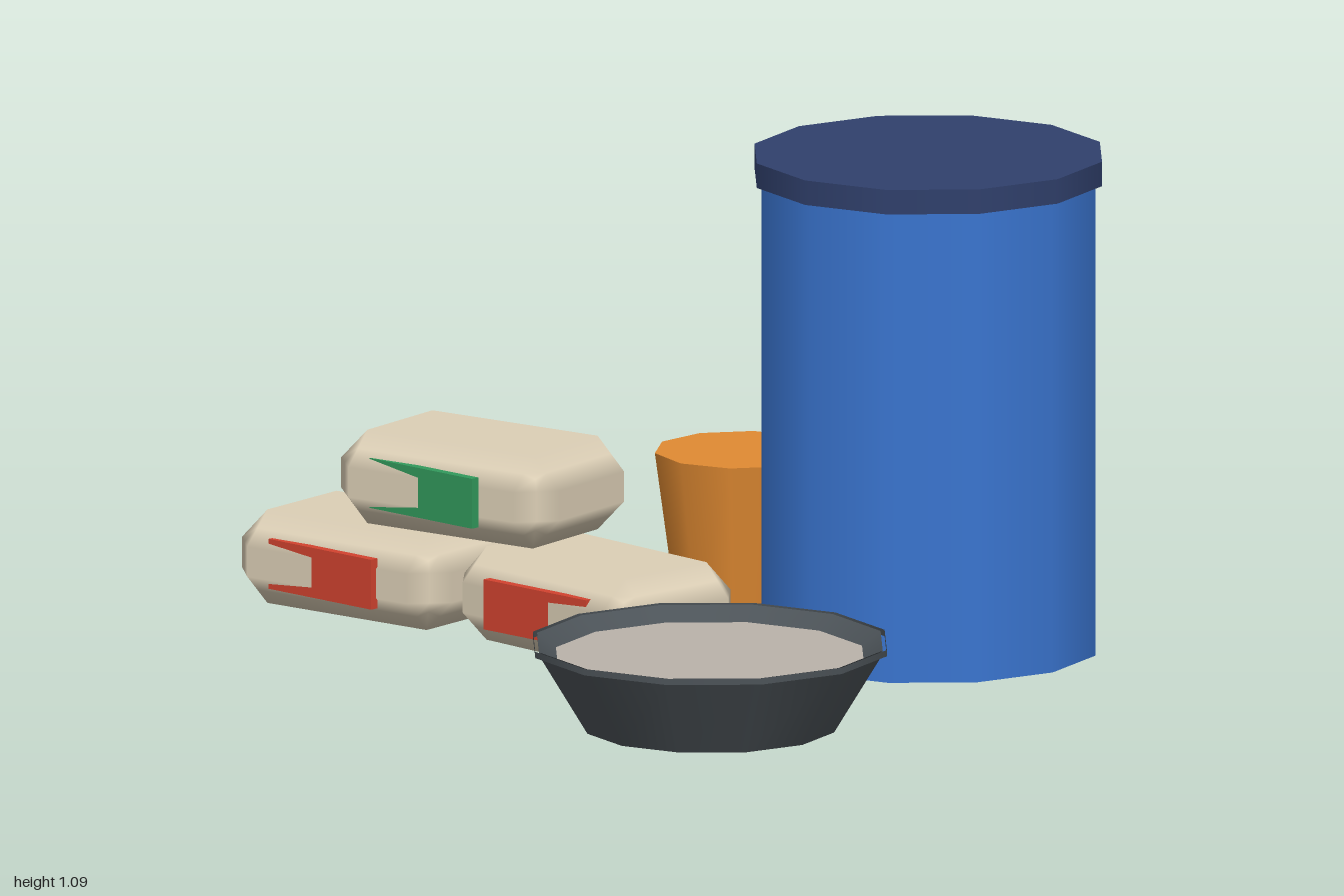
import * as THREE from 'three';

function mat(name, color, side = THREE.FrontSide) {
  const m = new THREE.MeshStandardMaterial({ color, side });
  m.name = name;
  return m;
}

// Box with one flat chamfer on every edge; normals blend across the chamfers.
function chamferedBox(hx, hy, hz, bevel) {
  const geo = new THREE.BoxGeometry(1, 1, 1, 3, 3, 3);
  const pos = geo.attributes.position;
  const half = [hx, hy, hz];
  for (let i = 0; i < pos.count; i++) {
    const p = [pos.getX(i), pos.getY(i), pos.getZ(i)];
    const outer = p.map(c => (Math.abs(c) > 0.4 ? Math.sign(c) : 0));
    const n = outer.filter(c => c !== 0).length;
    pos.setXYZ(i, ...p.map((c, k) => Math.sign(c) * (half[k] - bevel) + outer[k] * bevel / n));
    const v = new THREE.Vector3(...outer).normalize();
    geo.attributes.normal.setXYZ(i, v.x, v.y, v.z);
  }
  return geo;
}

export function createModel() {
  const model = new THREE.Group();
  const blue = mat('drum blue', 0x3a75d0);
  const navy = mat('lid navy', 0x30406c);
  const orange = mat('cup orange', 0xe08a32);
  const charcoal = mat('bowl charcoal', 0x4c5358, THREE.DoubleSide);
  const filling = mat('filling grey', 0xbab2aa);
  const cloth = mat('bag beige', 0xdccfb6);
  const red = mat('label red', 0xd2432f);
  const green = mat('label green', 0x329a5c);

  const add = (name, geo, material, x, y, z, parent = model) => {
    const mesh = new THREE.Mesh(geo, material);
    mesh.name = name;
    mesh.position.set(x, y, z);
    parent.add(mesh);
    return mesh;
  };
  // Cylinder placed by its bottom and top heights
  const tube = (name, rTop, rBottom, y0, y1, sides, material, x, z, open = false, parent = model) =>
    add(name, new THREE.CylinderGeometry(rTop, rBottom, y1 - y0, sides, 1, open),
      material, x, (y0 + y1) / 2, z, parent);

  // Drum with its lid, and the tapered cup behind the bags
  tube('drum', 0.37, 0.37, 0, 1.036, 12, blue, 0.4, -0.452);
  tube('drumLid', 0.385, 0.385, 1.036, 1.09, 12, navy, 0.4, -0.452);
  tube('cup', 0.19, 0.145, 0, 0.33, 10, orange, -0.22, -0.52);

  // Bowl: flared wall, base, rim band, inner lip and filling
  const bowl = new THREE.Group();
  bowl.name = 'bowl';
  bowl.position.set(0.606, 0, 0.446);
  model.add(bowl);
  tube('bowlWall', 0.383, 0.275, 0, 0.178, 12, charcoal, 0, 0, true, bowl);
  tube('bowlRim', 0.392, 0.392, 0.174, 0.188, 12, charcoal, 0, 0, true, bowl);
  tube('bowlLip', 0.383, 0.34, 0.155, 0.186, 12, charcoal, 0, 0, true, bowl);
  add('bowlBase', new THREE.CircleGeometry(0.275, 12), charcoal, 0, 0, 0, bowl).rotation.x = Math.PI / 2;
  add('bowlFilling', new THREE.CircleGeometry(0.342, 12), filling, 0, 0.156, 0, bowl).rotation.x = -Math.PI / 2;

  // Stacked bags, each slightly turned, with a straight label let into the front
  const bagGeo = chamferedBox(0.289, 0.103, 0.19, 0.07);
  const labelGeo = new THREE.BoxGeometry(0.305, 0.11, 0.02);
  const bags = [
    ['leftBag', -0.70, 0.112, 0.10, 0.09, red],
    ['rightBag', -0.085, 0.112, 0.075, -0.065, red],
    ['topBag', -0.40, 0.336, 0.10, 0.14, green],
  ];
  for (const [name, x, y, z, turn, labelMat] of bags) {
    add(name, bagGeo, cloth, x, y, z).rotation.y = turn;
    add(name + 'Label', labelGeo, labelMat, x, y, z + 0.183);
  }
  return model;
}
